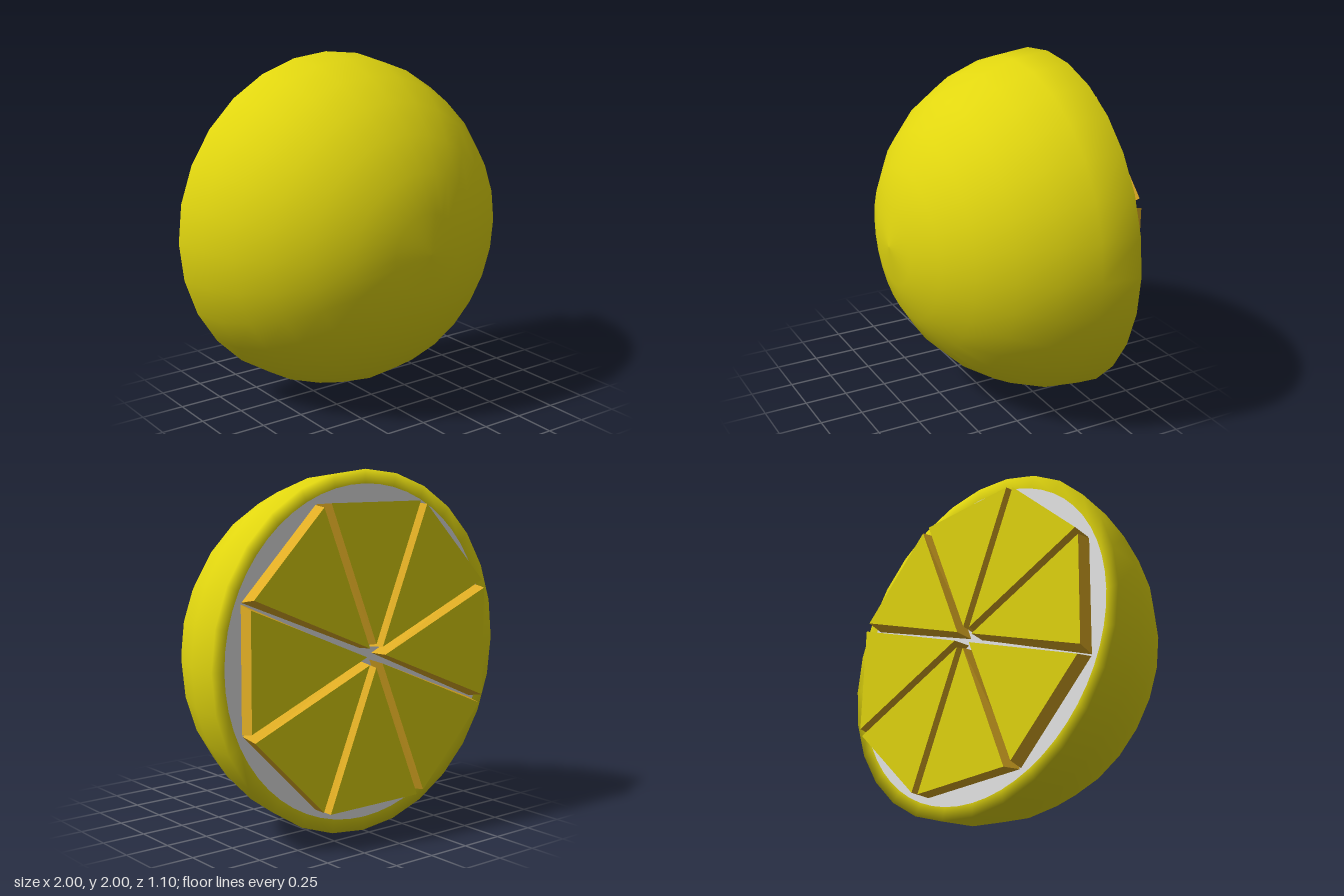
import * as THREE from 'three';

const peelYellow = new THREE.MeshStandardMaterial({ color: 0xe1d60f });
const pithWhite = new THREE.MeshStandardMaterial({ color: 0xe6e6e6 });
const segmentOrange = new THREE.MeshStandardMaterial({ color: 0xe0ad24 });

const PITH_RADIUS = 0.92;
const SIDES = 28;
const SEGMENTS = 8;
const HEIGHT = 0.1;

// Triangle outline of one fruit segment, anticlockwise
const triangle = (tip, halfWidth, outer) => [[0, tip], [halfWidth, outer], [-halfWidth, outer]];

// Tapered walls between the lower and upper triangle
function wallGeometry(lower, upper) {
  const positions = [];
  for (let i = 0; i < 3; i++) {
    const j = (i + 1) % 3;
    const a = [...lower[i], 0], b = [...lower[j], 0];
    const c = [...upper[j], HEIGHT], d = [...upper[i], HEIGHT];
    positions.push(...a, ...b, ...c, ...a, ...c, ...d);
  }
  const geometry = new THREE.BufferGeometry();
  geometry.setAttribute('position', new THREE.Float32BufferAttribute(positions, 3));
  geometry.computeVertexNormals();
  return geometry;
}

function addMesh(parent, name, geometry, material) {
  const mesh = new THREE.Mesh(geometry, material);
  mesh.name = name;
  parent.add(mesh);
  return mesh;
}

export function createModel() {
  const model = new THREE.Group();
  model.name = 'halvedCitrus';

  // Half-round peel with a softly shaded lip that turns onto the cut face
  const profile = [new THREE.Vector2(PITH_RADIUS, 0)];
  for (let i = 0; i <= 7; i++) {
    const a = (i / 7) * Math.PI / 2;
    profile.push(new THREE.Vector2(i === 7 ? 0 : Math.cos(a), Math.sin(a)));
  }
  const peel = addMesh(model, 'peel', new THREE.LatheGeometry(profile, SIDES).rotateX(Math.PI / 2), peelYellow);
  peel.position.set(0, 1, -0.45);

  // Cut face, turned towards the back
  const cutFace = new THREE.Group();
  cutFace.name = 'cutFace';
  cutFace.position.set(0, 1, -0.45);
  cutFace.rotation.y = Math.PI;
  model.add(cutFace);

  const pith = new THREE.CircleGeometry(PITH_RADIUS + 0.003, SIDES * 2);
  addMesh(cutFace, 'pith', pith, pithWhite).position.z = 0.001;

  // Ring of raised fruit segments: orange walls, yellow tops
  const lower = triangle(0.05, 0.335, 0.82);
  const upper = triangle(0.065, 0.315, 0.828);
  const walls = wallGeometry(lower, upper);
  const top = new THREE.ShapeGeometry(new THREE.Shape(upper.map(([x, y]) => new THREE.Vector2(x, y))));
  top.translate(0, 0, HEIGHT);
  for (let i = 0; i < SEGMENTS; i++) {
    const segment = new THREE.Group();
    segment.name = 'fruitSegment';
    segment.rotation.z = (i / SEGMENTS) * Math.PI * 2;
    addMesh(segment, 'segmentWalls', walls, segmentOrange);
    addMesh(segment, 'segmentTop', top, peelYellow);
    cutFace.add(segment);
  }
  return model;
}
